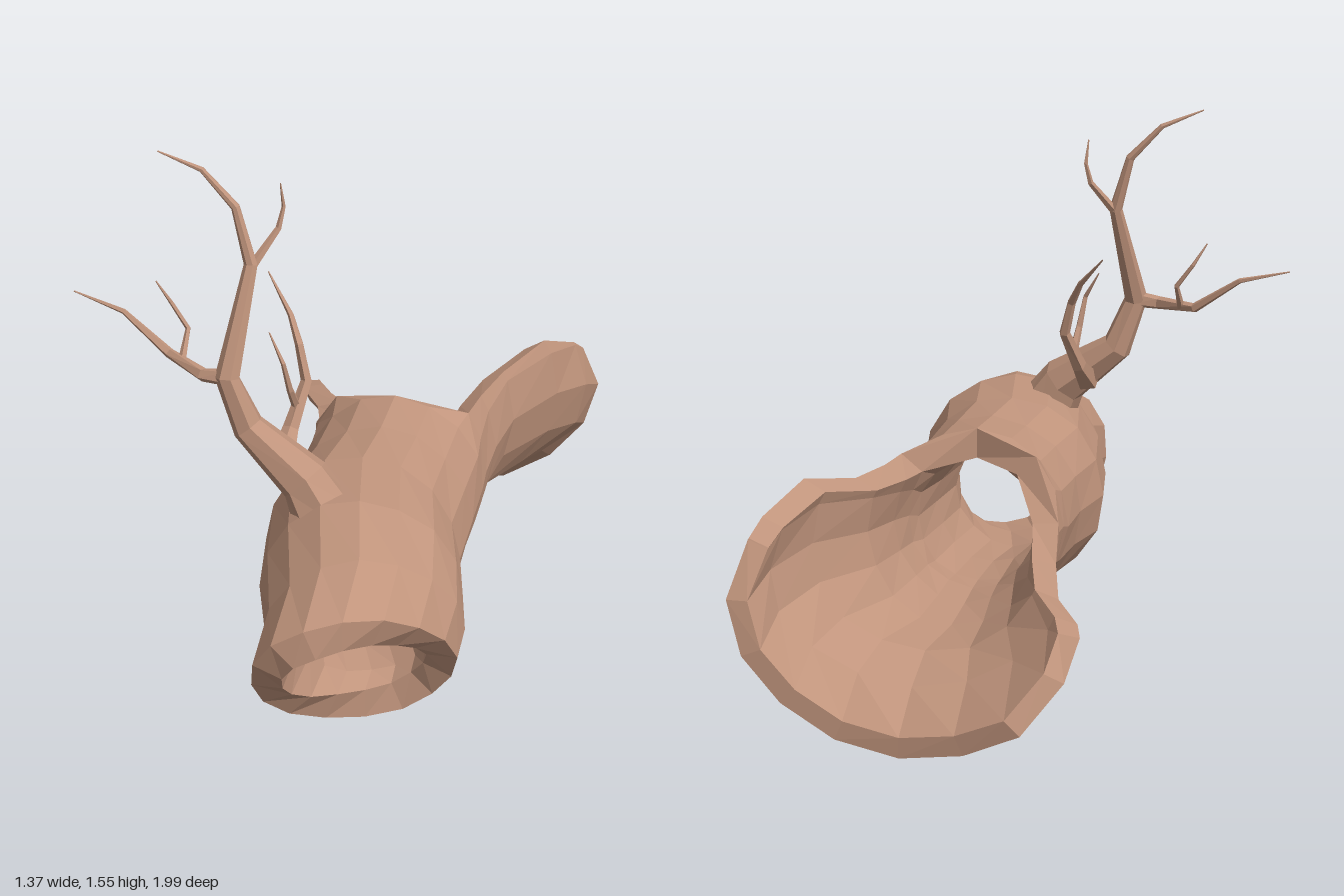
import * as THREE from 'three';

const bark = new THREE.MeshStandardMaterial({ color: 0xc0947c, flatShading: true, side: THREE.DoubleSide });
const SIDES = 16;

// Builds a faceted mesh from a list of quads, dropping collapsed triangles
function quadMesh(name, quads) {
  const pos = [];
  for (const [a, b, c, d] of quads) {
    for (const tri of [[a, b, c], [a, c, d]]) {
      if (new THREE.Triangle(...tri).getArea() > 1e-7) for (const p of tri) pos.push(p.x, p.y, p.z);
    }
  }
  const g = new THREE.BufferGeometry();
  g.setAttribute('position', new THREE.Float32BufferAttribute(pos, 3));
  g.computeVertexNormals();
  const mesh = new THREE.Mesh(g, bark);
  mesh.name = name;
  return mesh;
}

// Joins closed loops of equal length; skip(i, j) leaves a quad out
function loft(loops, skip = () => false) {
  const quads = [];
  for (let i = 0; i < loops.length - 1; i++) {
    const a = loops[i], b = loops[i + 1], n = a.length;
    for (let j = 0; j < n; j++) {
      const k = (j + 1) % n;
      if (!skip(i, j)) quads.push([a[j], b[j], b[k], a[k]]);
    }
  }
  return quads;
}

// Hollow log: sections run from the slanted front mouth to the flared, split-open back.
// gapL and gapR are the degrees from the top at which the split wall starts on each side.
function makeLog() {
  const mouth = (base, amp) => (t, th) => base + amp * Math.cos(th + 0.7);
  const flat = z => () => z;
  const ragged = t => Math.max(-0.83 - 1.13 * t, Math.min(-1.03 + 0.22 * t, -0.91), -0.82 - 0.6 * (1 - t));
  const rimmed = (base, drop) => t => base - drop * Math.sin(Math.PI * t);
  const sections = [
    // z rule, cx, cy, rx, ry, wall, gapL, gapR
    [mouth(0.8, 0.2), 0.24, 0.265, 0.26, 0.238, 0.087, 0, 0],
    [mouth(0.67, 0.12), 0.245, 0.312, 0.265, 0.275, 0.1, 0, 0],
    [mouth(0.5, 0.05), 0.2, 0.345, 0.285, 0.305, 0.115, 0, 0],
    [flat(0.28), 0.155, 0.36, 0.285, 0.295, 0.11, 0, 0],
    [flat(0.08), 0.17, 0.375, 0.27, 0.28, 0.1, 0, 0],
    [flat(-0.1), 0.175, 0.39, 0.27, 0.28, 0.09, 0, 0],
    [flat(-0.17), 0.175, 0.415, 0.27, 0.29, 0.08, 45, 50],
    [flat(-0.29), 0.17, 0.44, 0.28, 0.31, 0.075, 85, 57],
    [flat(-0.45), 0.17, 0.46, 0.31, 0.335, 0.07, 100, 62],
    [rimmed(-0.61, 0.03), 0.2, 0.48, 0.395, 0.36, 0.07, 109, 60],
    [rimmed(-0.76, 0.03), 0.2, 0.45, 0.465, 0.365, 0.065, 105, 66],
    [ragged, 0.2, 0.4, 0.483, 0.4, 0.06, 98, 67],
  ];
  const loops = sections.map(([zRule, cx, cy, rx, ry, wall, gapL, gapR], i) => {
    const outer = [], inner = [];
    for (let j = 0; j <= SIDES; j++) {
      const deg = THREE.MathUtils.clamp(360 * j / SIDES, gapL, 360 - gapR);
      const t = (deg - gapL) / (360 - gapR - gapL);
      const th = -THREE.MathUtils.degToRad(deg);
      const bump = 1 + 0.012 * Math.sin(5 * th + i * 1.7);
      const point = w => new THREE.Vector3(
        cx + (rx * bump - w) * Math.sin(th), cy + (ry * bump - w) * Math.cos(th), zRule(t, th));
      outer.push(point(0));
      inner.unshift(point(wall));
    }
    return [...outer, ...inner];
  });
  // The split edges need a wall only where the log is open
  const last = 2 * SIDES + 1;
  const quads = loft(loops, (i, j) => (j === SIDES || j === last) && !sections[i + 1][6]);
  // Ring-shaped cut faces at the mouth and the back
  const front = loops[0], back = loops[loops.length - 1];
  for (let j = 0; j < SIDES; j++) {
    quads.push([front[j], front[j + 1], front[last - j - 1], front[last - j]]);
    quads.push([back[j + 1], back[j], back[last - j], back[last - j - 1]]);
  }
  return quadMesh('hollowLog', quads);
}

// Tapered, angular branch through points [x, y, z, radius]
function makeBranch(name, path, sides = 5) {
  const pts = path.map(p => new THREE.Vector3(p[0], p[1], p[2]));
  const ref = new THREE.Vector3(0.25, 0.1, 1).normalize();
  const loops = pts.map((p, i) => {
    const dir = pts[Math.min(i + 1, pts.length - 1)].clone().sub(pts[Math.max(i - 1, 0)]).normalize();
    const u = ref.clone().cross(dir).normalize();
    const v = dir.clone().cross(u);
    return Array.from({ length: sides }, (_, j) => {
      const a = -j / sides * Math.PI * 2, r = path[i][3];
      return p.clone().addScaledVector(u, r * Math.cos(a)).addScaledVector(v, r * Math.sin(a));
    });
  });
  return quadMesh(name, loft(loops));
}

export function createModel() {
  const model = new THREE.Group();
  model.name = 'fallenLog';
  model.add(makeLog());

  // Main limb growing out of the upper right flank, with its side twigs
  const branches = new THREE.Group();
  branches.name = 'branches';
  branches.add(
    makeBranch('mainBranch', [
      [0.09, 0.56, 0.48, 0.095], [0.03, 0.66, 0.465, 0.075], [-0.14, 0.79, 0.43, 0.047], [-0.195, 0.94, 0.44, 0.036],
      [-0.15, 1.24, 0.335, 0.02], [-0.195, 1.4, 0.32, 0.013], [-0.29, 1.5, 0.315, 0.008], [-0.41, 1.55, 0.33, 0.002]], 7),
    makeBranch('upperTwig', [
      [-0.15, 1.23, 0.335, 0.014], [-0.085, 1.33, 0.275, 0.009], [-0.073, 1.39, 0.262, 0.006], [-0.08, 1.46, 0.27, 0.002]]),
    makeBranch('sideBranch', [
      [-0.19, 0.94, 0.44, 0.026], [-0.27, 0.935, 0.425, 0.02], [-0.39, 0.95, 0.335, 0.015],
      [-0.53, 1.05, 0.3, 0.008], [-0.68, 1.09, 0.28, 0.002]]),
    makeBranch('sideTwig', [
      [-0.345, 0.945, 0.36, 0.012], [-0.34, 1.02, 0.31, 0.008], [-0.39, 1.09, 0.3, 0.006], [-0.43, 1.155, 0.31, 0.002]]),
    makeBranch('rearBranch', [
      [-0.05, 0.68, 0.43, 0.04], [-0.04, 0.75, 0.335, 0.024], [-0.01, 0.87, 0.265, 0.017],
      [-0.035, 0.97, 0.245, 0.013], [-0.07, 1.04, 0.2, 0.009], [-0.15, 1.135, 0.13, 0.002]]),
    makeBranch('rearTwig', [
      [-0.03, 0.8, 0.3, 0.014], [-0.04, 0.87, 0.34, 0.01], [-0.055, 0.96, 0.36, 0.007], [-0.1, 1.04, 0.335, 0.002]]),
  );
  model.add(branches);
  return model;
}
